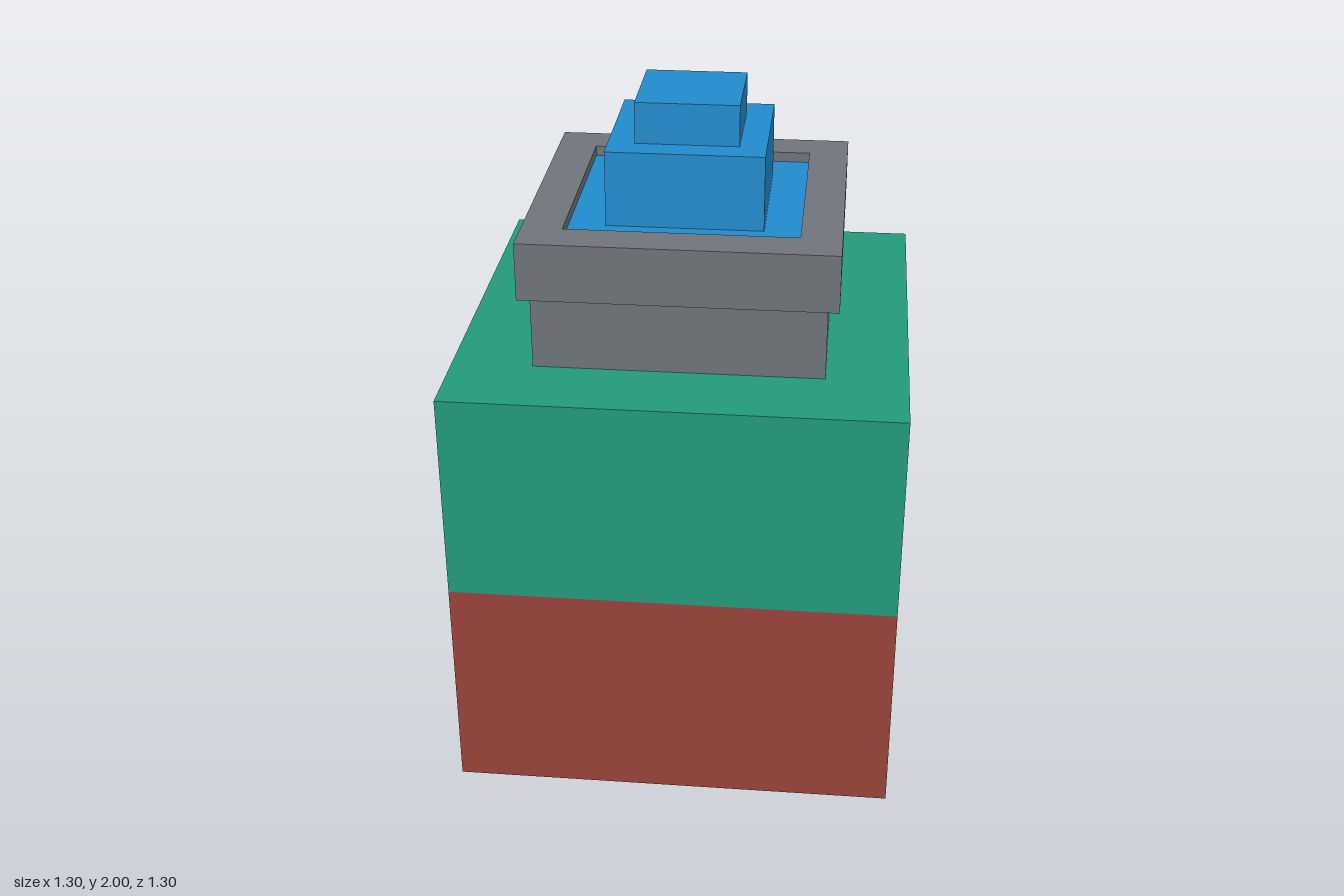
import * as THREE from 'three';

const material = (name, color) => {
  const m = new THREE.MeshStandardMaterial({ color });
  m.name = name;
  return m;
};

export function createModel() {
  const model = new THREE.Group();
  model.name = 'steppedBlock';
  const red = material('brickRed', 0x98423a);
  const green = material('seaGreen', 0x229a7b);
  const grey = material('stoneGrey', 0x6e747a);
  const blue = material('brightBlue', 0x228bcd);

  // Square block of a given half width between two heights
  const block = (name, half, y0, y1, mat) => {
    const mesh = new THREE.Mesh(new THREE.BoxGeometry(half * 2, y1 - y0, half * 2), mat);
    mesh.name = name;
    mesh.position.y = (y0 + y1) / 2;
    model.add(mesh);
  };

  // Two-coloured body
  block('lowerBody', 0.65, 0, 0.67, red);
  block('upperBody', 0.65, 0.67, 1.3, green);

  // Neck under the rim
  block('neck', 0.416, 1.3, 1.52, grey);

  // Overhanging rim with a square opening
  const square = (h, Type) => new Type([[-h, -h], [h, -h], [h, h], [-h, h]].map(([x, y]) => new THREE.Vector2(x, y)));
  const outline = square(0.448, THREE.Shape);
  outline.holes.push(square(0.331, THREE.Path));
  const rimGeometry = new THREE.ExtrudeGeometry(outline, { depth: 0.17, bevelEnabled: false });
  rimGeometry.rotateX(-Math.PI / 2);
  const rim = new THREE.Mesh(rimGeometry, grey);
  rim.name = 'rim';
  rim.position.y = 1.52;
  model.add(rim);

  // Recessed floor and stepped top
  block('recessedFloor', 0.331, 1.52, 1.66, blue);
  block('lowerStep', 0.225, 1.66, 1.88, blue);
  block('upperStep', 0.148, 1.88, 2, blue);

  return model;
}
